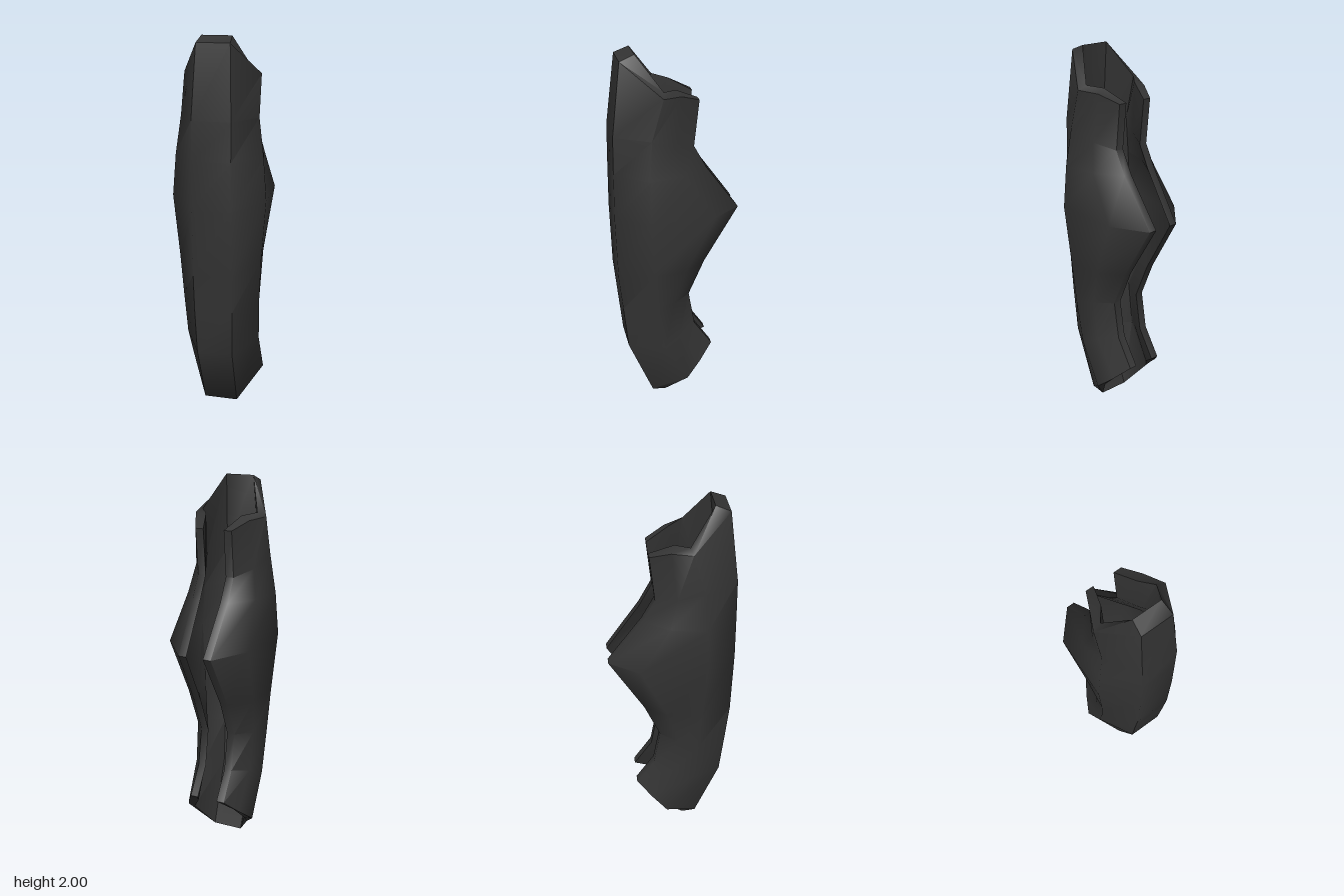
import * as THREE from 'three';
import { toCreasedNormals } from 'three/addons/utils/BufferGeometryUtils.js';

// Outer half-section columns, eight stations from bottom to top, each [x, y, z]
const backEdge = [
  [0.1, 0.3, -0.2], [0.1, 0.45, -0.1], [0.1, 0.65, -0.065], [0.1, 0.85, -0.15],
  [0.09, 1.15, -0.33], [0.1, 1.4, -0.15], [0.1, 1.52, -0.085], [0.1, 1.76, -0.11],
];
const flank = [
  [0.155, 0.22, -0.12], [0.165, 0.42, 0], [0.17, 0.64, 0.03], [0.195, 0.85, -0.03],
  [0.225, 1.17, -0.175], [0.195, 1.4, -0.02], [0.165, 1.55, 0.02], [0.15, 1.8, -0.01],
];
const side = [
  [0.2, 0.15, -0.04], [0.2, 0.38, 0.09], [0.208, 0.62, 0.13], [0.22, 0.85, 0.15],
  [0.247, 1.18, 0.17], [0.23, 1.4, 0.165], [0.203, 1.6, 0.15], [0.2, 1.81, 0.09],
];
const front = [
  [0.09, 0.015, 0.14], [0.095, 0.35, 0.275], [0.1, 0.6, 0.3], [0.1, 0.8, 0.32],
  [0.1, 1.15, 0.33], [0.1, 1.4, 0.328], [0.1, 1.6, 0.325], [0.085, 1.97, 0.28],
];

// Inward shift of each column gives the inner wall
const columns = [
  { points: backEdge, dx: -0.043, dz: 0 },
  { points: flank, dx: -0.05, dz: 0.02 },
  { points: side, dx: -0.045, dz: -0.01 },
  { points: front, dx: -0.008, dz: -0.075 },
];
const STATIONS = front.length;

// Closed C-shaped loop: outer wall from -x round the front to +x, then back inside
function section(j) {
  const outer = columns.map(({ points }) => points[j]);
  const inner = columns.map(({ points, dx, dz }, c) => {
    const [x, y, z] = points[j];
    const lip = c === 3 ? (j === 0 ? -0.015 : j === STATIONS - 1 ? 0.03 : 0)
      : c > 0 && j === STATIONS - 1 ? 0.02 : 0;
    return [x + dx, y + lip, z + dz];
  });
  const mirror = (list) => list.map(([x, y, z]) => [-x, y, z]);
  return [
    ...mirror(outer), ...outer.slice().reverse(),
    ...inner, ...mirror(inner).reverse(),
  ];
}

function shellGeometry() {
  const loops = Array.from({ length: STATIONS }, (_, j) => section(j));
  const n = loops[0].length;
  const positions = loops.flat(2);
  const index = [];
  const quad = (a, b, c, d) => index.push(a, b, c, a, c, d);

  // Walls and the two edges along the back opening
  for (let j = 0; j < STATIONS - 1; j++) {
    for (let i = 0; i < n; i++) {
      const k = (i + 1) % n;
      quad(j * n + i, j * n + k, (j + 1) * n + k, (j + 1) * n + i);
    }
  }
  // Bottom and top rims
  const top = (STATIONS - 1) * n;
  for (let i = 0; i < n / 2 - 1; i++) {
    quad(top + i, top + i + 1, top + n - 2 - i, top + n - 1 - i);
    quad(n - 1 - i, n - 2 - i, i + 1, i);
  }

  const geometry = new THREE.BufferGeometry();
  geometry.setAttribute('position', new THREE.Float32BufferAttribute(positions, 3));
  geometry.setIndex(index);
  return toCreasedNormals(geometry, 1.0);
}

export function createModel() {
  const model = new THREE.Group();
  model.name = 'limbGuard';
  const shell = new THREE.Mesh(
    shellGeometry(),
    new THREE.MeshStandardMaterial({ color: 0x333333 }),
  );
  shell.name = 'guardShell';
  model.add(shell);
  return model;
}
